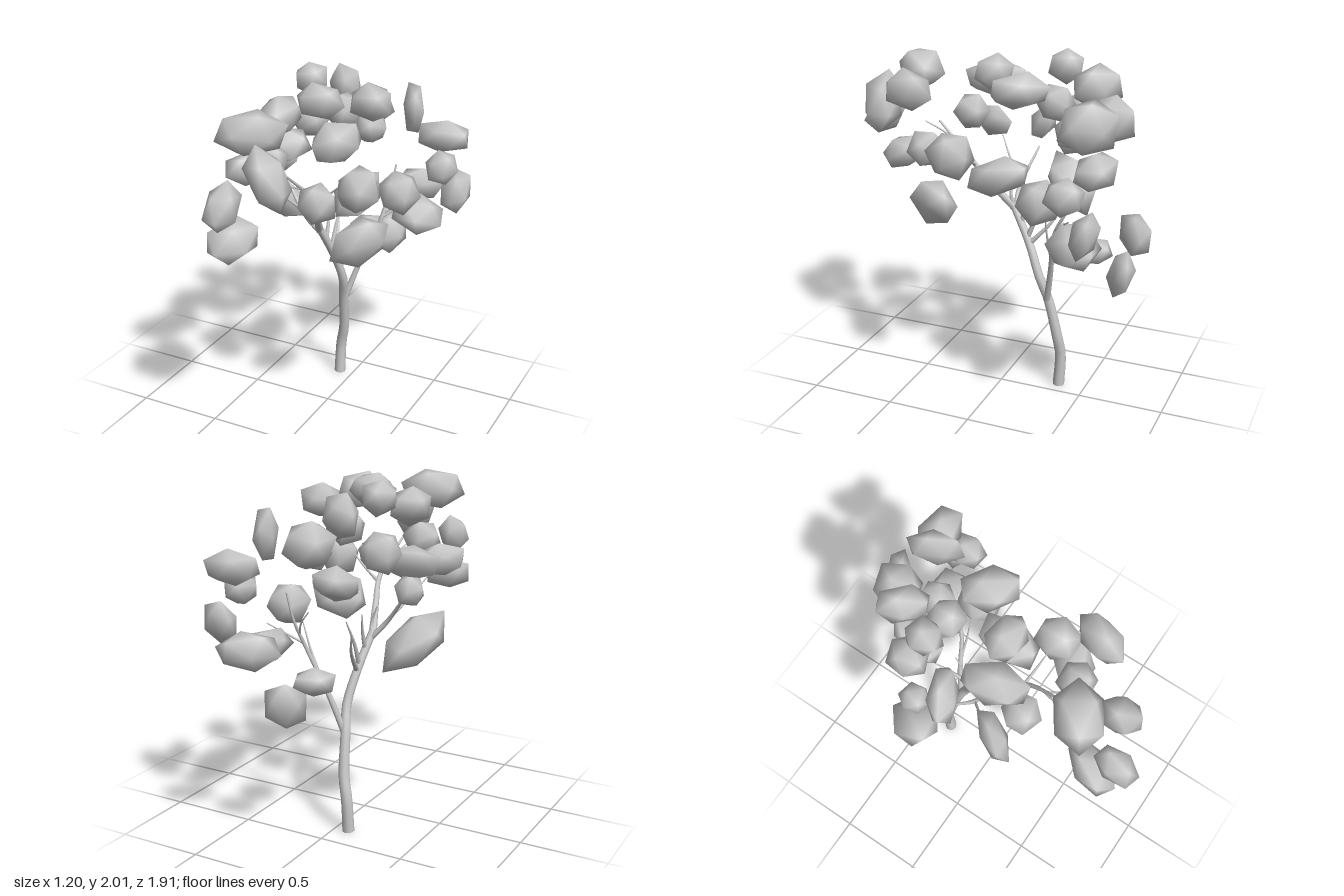
import * as THREE from 'three';
import { mergeVertices } from 'three/addons/utils/BufferGeometryUtils.js';

const material = new THREE.MeshStandardMaterial({ color: 0xcccccc });

// small seeded random source
let seed = 7;
const rand = () => (seed = (seed * 16807) % 2147483647) / 2147483647;
const vec = p => new THREE.Vector3(...p);

// tapered limb through a few points
function limb(name, points, r0, r1, sides) {
  const curve = new THREE.CatmullRomCurve3(points);
  const rings = points.length * 3;
  const geo = new THREE.TubeGeometry(curve, rings, 1, sides);
  const pos = geo.attributes.position, v = new THREE.Vector3();
  for (let i = 0; i < pos.count; i++) {
    const t = Math.floor(i / (sides + 1)) / rings;
    const c = curve.getPointAt(t);
    v.fromBufferAttribute(pos, i).sub(c).multiplyScalar(r0 + (r1 - r0) * t).add(c);
    pos.setXYZ(i, v.x, v.y, v.z);
  }
  const mesh = new THREE.Mesh(geo, material);
  mesh.name = name;
  return { mesh, curve, radiusAt: t => r0 + (r1 - r0) * t };
}

// side branch that leaves its parent at fraction t and bows a little on its way to the tip
function sprout(parent, t, x, y, z) {
  const start = parent.curve.getPointAt(t), tip = new THREE.Vector3(x, y, z);
  const middle = start.clone().lerp(tip, 0.5);
  middle.x += (rand() - 0.5) * 0.04;
  middle.z += (rand() - 0.5) * 0.04;
  return limb('branch', [start, middle, tip], parent.radiusAt(t) * 0.7, 0.003, 6);
}

// smooth twenty-sided leaf clump of radius r, half as long again along the named axes;
// lean slants it: xy moves x with height, zy moves z with height, xz moves x with z
function clump([x, y, z, r, long = '', { xy = 0, zy = 0, xz = 0 } = {}]) {
  let geo = new THREE.IcosahedronGeometry(1, 0);
  geo.deleteAttribute('normal');
  geo.deleteAttribute('uv');
  geo = mergeVertices(geo, 1e-3);
  geo.rotateX(rand() * 6.28).rotateY(rand() * 6.28).rotateZ(rand() * 6.28);
  const pos = geo.attributes.position, v = new THREE.Vector3();
  for (let i = 0; i < pos.count; i++) {
    v.fromBufferAttribute(pos, i).multiplyScalar(0.93 + 0.14 * rand());
    pos.setXYZ(i, v.x + xy * v.y + xz * v.z, v.y, v.z + zy * v.y);
  }
  geo.center();
  const half = geo.boundingBox.getSize(new THREE.Vector3()).multiplyScalar(0.5);
  const [sx, sy, sz] = ['x', 'y', 'z'].map(a => (long.includes(a) ? 1.5 : 1) * r / half[a]);
  geo.scale(sx, sy, sz);
  geo.computeVertexNormals();
  const mesh = new THREE.Mesh(geo, material);
  mesh.name = 'leafClump';
  mesh.position.set(x, y, z);
  return mesh;
}

// leaf clumps: centre, radius, long axes, lean
const FRONT_CLUMPS = [
  [-0.15, 1.85, 0.56, 0.106, 'xz', { xz: -0.3 }], [0.27, 1.83, 0.43, 0.11, 'z', { xz: -0.3 }],
  [0.03, 1.68, 0.72, 0.115, 'y', { xy: -0.5 }], [-0.17, 1.54, 0.83, 0.083, 'yz', { zy: -0.3 }],
  [-0.18, 1.31, 0.71, 0.107, 'z', { zy: -0.4, xz: -0.3 }], [0.32, 1.22, 0.27, 0.142, '', { xz: -0.5, xy: 0.4 }],
  [0.14, 1.46, 0.4, 0.102], [0.28, 1.48, 0.19, 0.12],
  [-0.22, 1.6, 0.28, 0.107], [-0.38, 1.51, 0.21, 0.097, 'z', { xz: -0.8 }],
];
const MIDDLE_CLUMPS = [
  [-0.23, 1.81, 0.12, 0.112, 'z', { xz: 0.3 }], [-0.02, 1.9, 0.05, 0.097, 'x'],
  [0.18, 1.86, -0.18, 0.1, 'xz', { xz: 0.4 }], [0.16, 1.36, -0.05, 0.115, 'z', { zy: -0.4 }],
  [-0.35, 1.55, -0.12, 0.1, 'x', { xz: -0.7, zy: -0.4 }], [-0.25, 1.91, -0.29, 0.1],
  [-0.05, 1.75, -0.3, 0.1], [0.29, 1.29, -0.34, 0.123],
  [-0.42, 1.43, -0.27, 0.085], [-0.445, 1.16, -0.27, 0.153, '', { zy: 0.6, xy: -0.4 }],
  [-0.3, 1.64, -0.37, 0.11],
];
const BACK_CLUMPS = [
  [-0.14, 1.84, -0.51, 0.124, '', { xz: 0.5 }], [0.06, 1.63, -0.44, 0.1],
  [-0.03, 1.7, -0.63, 0.13], [0.26, 1.73, -0.59, 0.095, 'yz', { xz: 0.9 }],
  [0.42, 1.55, -0.69, 0.1, 'x'], [0.47, 1.41, -0.54, 0.1],
  [0.51, 1.23, -0.67, 0.088, 'y', { zy: -0.4 }], [0.33, 1.09, -0.55, 0.099, 'xz', { xy: -0.4, xz: -0.3 }],
  [0.21, 1.16, -0.85, 0.105, 'x', { xz: -0.8 }], [0, 0.94, -0.55, 0.077, 'xz'],
  [0.06, 0.85, -0.74, 0.092, 'y', { xz: -0.6, zy: -0.3 }],
];

export function createModel() {
  const tree = new THREE.Group();
  tree.name = 'tree';

  // gently bent trunk with a closed foot
  const trunk = limb('trunk', [
    [-0.085, 0, -0.34], [-0.08, 0.2, -0.35], [-0.055, 0.33, -0.335], [-0.035, 0.58, -0.28],
    [-0.015, 0.72, -0.23], [-0.04, 0.9, -0.16], [-0.08, 1.12, -0.04],
  ].map(vec), 0.035, 0.022, 9);
  const foot = new THREE.Mesh(new THREE.CircleGeometry(0.034, 9), material);
  foot.name = 'trunkFoot';
  foot.rotation.x = Math.PI / 2;
  foot.position.set(-0.085, 0.002, -0.34);

  // main limbs: one leading forward, one rising at the back, one to the right
  const leader = limb('frontLimb', [
    [-0.08, 1.1, -0.05], [-0.03, 1.25, 0.08], [0, 1.38, 0.18], [-0.04, 1.58, 0.4],
  ].map(vec), 0.024, 0.006, 7);
  const rear = limb('backLimb', [
    [-0.02, 0.58, -0.28], [0.05, 0.8, -0.325], [0.16, 1.08, -0.385], [0.18, 1.23, -0.46], [0.2, 1.4, -0.5],
  ].map(vec), 0.02, 0.005, 7);
  const right = limb('rightLimb', [
    [-0.08, 1.08, -0.06], [-0.17, 1.18, -0.04], [-0.34, 1.4, -0.1],
  ].map(vec), 0.018, 0.005, 7);

  // thinner branches and shoots
  const branches = new THREE.Group();
  branches.name = 'branches';
  for (const shoot of [
    sprout(leader, 0.55, 0.06, 1.48, 0.4),
    sprout(leader, 0.75, -0.06, 1.56, 0.5),
    sprout(leader, 0.5, 0.18, 1.5, 0.19),
    sprout(right, 0.4, -0.35, 1.45, 0.14),
    sprout(rear, 0.36, 0.2, 1.2, -0.34),
    sprout(rear, 0.63, 0.32, 1.22, -0.52),
    sprout(rear, 0.7, 0.08, 1.3, -0.47),
    sprout(trunk, 0.82, -0.04, 1.22, -0.28),
    sprout(trunk, 0.79, -0.12, 1.17, -0.36),
    sprout(trunk, 0.9, -0.08, 1.24, -0.17),
    sprout(trunk, 0.97, -0.1, 1.26, -0.03),
  ]) branches.add(shoot.mesh);

  const foliage = new THREE.Group();
  foliage.name = 'foliage';
  for (const clumps of [FRONT_CLUMPS, MIDDLE_CLUMPS, BACK_CLUMPS])
    for (const c of clumps) foliage.add(clump(c));

  tree.add(trunk.mesh, foot, leader.mesh, rear.mesh, right.mesh, branches, foliage);
  return tree;
}
